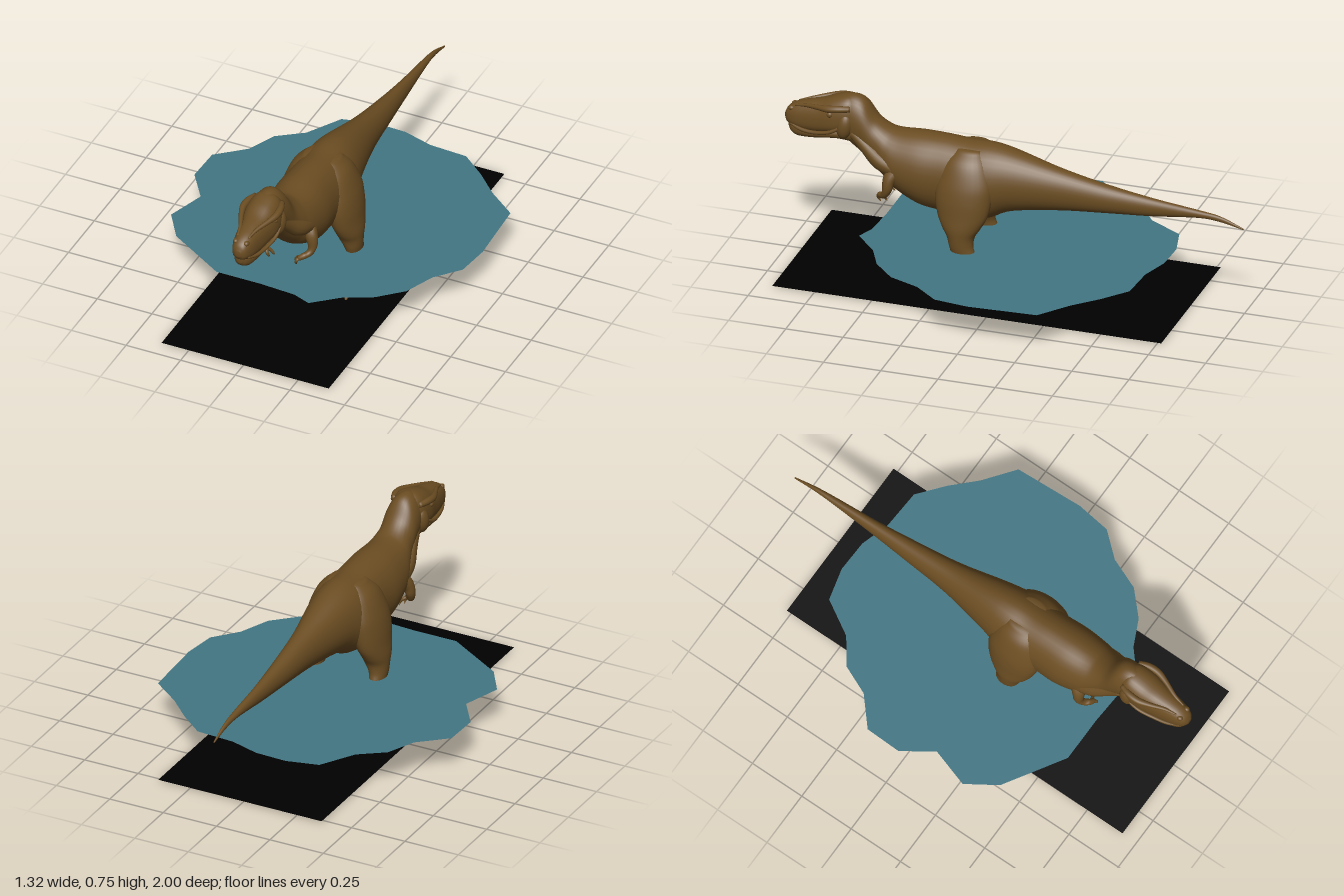
import * as THREE from 'three';

const material = (name, color, side = THREE.FrontSide) => {
  const m = new THREE.MeshStandardMaterial({ color, side });
  m.name = name;
  return m;
};

// Smoothly resample rows of numbers
function resample(rows, steps) {
  const curve = new THREE.CubicInterpolant(rows.map((_, i) => i), rows.flat(), rows[0].length);
  const count = (rows.length - 1) * steps;
  return Array.from({ length: count + 1 }, (_, i) => Array.from(curve.evaluate(i / steps)));
}

// Skin a closed, capped surface over rings of points
function skin(rings) {
  const n = rings[0].length, pos = [], idx = [];
  rings.forEach(r => r.forEach(p => pos.push(p.x, p.y, p.z)));
  for (let i = 0; i < rings.length - 1; i++) {
    for (let j = 0; j < n; j++) {
      const a = i * n + j, b = i * n + (j + 1) % n;
      idx.push(a, b, a + n, b, b + n, a + n);
    }
  }
  [0, rings.length - 1].forEach((row, end) => {
    const c = new THREE.Vector3();
    rings[row].forEach(p => c.addScaledVector(p, 1 / n));
    const k = pos.length / 3;
    pos.push(c.x, c.y, c.z);
    for (let j = 0; j < n; j++) {
      const a = row * n + j, b = row * n + (j + 1) % n;
      if (end) idx.push(a, b, k); else idx.push(b, a, k);
    }
  });
  const g = new THREE.BufferGeometry();
  g.setAttribute('position', new THREE.Float32BufferAttribute(pos, 3));
  g.setIndex(idx);
  g.computeVertexNormals();
  return g;
}

const ringOf = (n, fn) => Array.from({ length: n }, (_, j) => {
  const a = (j / n) * Math.PI * 2;
  return fn(Math.cos(a), Math.sin(a));
});

// Rows along z: [z, top, bottom, half width, height fraction of the widest line]
function trunk(rows, square = 1) {
  const pw = v => Math.sign(v) * Math.pow(Math.abs(v), square);
  return skin(resample(rows, 6).map(([z, top, bottom, w, k]) => {
    const mid = bottom + (top - bottom) * k;
    return ringOf(36, (c, s) =>
      new THREE.Vector3(w * pw(c), mid + pw(s) * (s > 0 ? top - mid : mid - bottom), z));
  }));
}

// Rows going down: [y, centre x, centre z, x radius, z radius]
function column(rows, side) {
  return skin(resample(rows, 5).map(([y, x, z, rx, rz]) =>
    ringOf(28, (c, s) => new THREE.Vector3(side * x + rx * c, y, z + rz * s))));
}

// Tapered round limb through points [x, y, z, radius]
function limb(points, side) {
  const curve = new THREE.CatmullRomCurve3(points.map(p => new THREE.Vector3(side * p[0], p[1], p[2])));
  const steps = 5, count = (points.length - 1) * steps;
  const radii = resample(points.map(p => [p[3]]), steps);
  const frames = curve.computeFrenetFrames(count);
  // Uniform parameter keeps each radius at its own point
  return skin(radii.map(([r], i) => {
    const p = curve.getPoint(i / count);
    return ringOf(12, (c, s) => {
      const v = p.clone().addScaledVector(frames.normals[i], c * r).addScaledVector(frames.binormals[i], s * r);
      v.y = Math.max(v.y, 0);
      return v;
    });
  }));
}

export function createModel() {
  const hide = material('brown hide', 0x6b4d22);
  const water = material('teal water', 0x437684, THREE.DoubleSide);
  const ground = material('black ground', 0x000000, THREE.DoubleSide);

  const model = new THREE.Group();
  const animal = new THREE.Group();
  animal.name = 'dinosaur';
  animal.position.x = 0.012;
  model.add(animal);
  const add = (name, geometry) => {
    const mesh = new THREE.Mesh(geometry, hide);
    mesh.name = name;
    animal.add(mesh);
    return mesh;
  };
  const blob = (name, x, y, z, rx, ry, rz, tilt = 0) => {
    const m = add(name, new THREE.SphereGeometry(1, 20, 14));
    m.position.set(x, y, z);
    m.scale.set(rx, ry, rz);
    m.rotation.x = tilt;
  };

  // Tail, torso and neck in one skin
  add('body', trunk([
    [-1, 0.395, 0.388, 0.003, 0.5], [-0.9, 0.434, 0.41, 0.009, 0.5],
    [-0.8, 0.449, 0.415, 0.015, 0.5], [-0.6, 0.472, 0.392, 0.027, 0.5],
    [-0.4, 0.503, 0.377, 0.045, 0.5], [-0.2, 0.545, 0.36, 0.066, 0.5],
    [0, 0.6, 0.33, 0.105, 0.48], [0.1, 0.617, 0.285, 0.125, 0.48],
    [0.2, 0.617, 0.268, 0.13, 0.5], [0.3, 0.624, 0.285, 0.127, 0.5],
    [0.4, 0.626, 0.303, 0.13, 0.48], [0.5, 0.622, 0.355, 0.118, 0.46],
    [0.55, 0.632, 0.398, 0.1, 0.5], [0.6, 0.668, 0.442, 0.082, 0.5],
    [0.65, 0.735, 0.487, 0.076, 0.5], [0.7, 0.753, 0.525, 0.07, 0.5],
    [0.76, 0.74, 0.57, 0.055, 0.5],
  ]));

  // Head
  add('skull', trunk([
    [0.68, 0.735, 0.58, 0.06, 0.4], [0.72, 0.749, 0.585, 0.076, 0.35],
    [0.78, 0.735, 0.574, 0.078, 0.35], [0.84, 0.71, 0.563, 0.067, 0.4],
    [0.9, 0.695, 0.56, 0.056, 0.4], [0.95, 0.679, 0.568, 0.046, 0.4],
    [0.985, 0.656, 0.582, 0.032, 0.45], [1, 0.628, 0.602, 0.012, 0.5],
  ], 0.85));
  add('lowerJaw', trunk([
    [0.69, 0.625, 0.54, 0.06, 0.6], [0.76, 0.605, 0.553, 0.07, 0.6],
    [0.82, 0.59, 0.545, 0.062, 0.6], [0.88, 0.585, 0.534, 0.052, 0.6],
    [0.94, 0.59, 0.53, 0.041, 0.6], [0.97, 0.595, 0.542, 0.029, 0.6],
    [0.985, 0.595, 0.562, 0.012, 0.6],
  ], 0.85));

  for (const s of [1, -1]) {
    const side = s > 0 ? 'left' : 'right';

    // Face details
    add(side + 'Brow', limb([
      [0.06, 0.705, 0.7, 0.012], [0.074, 0.705, 0.745, 0.015], [0.075, 0.7, 0.79, 0.015],
      [0.06, 0.694, 0.84, 0.011], [0.036, 0.684, 0.9, 0.008], [0.025, 0.672, 0.95, 0.004],
    ], s));
    blob(side + 'Eye', s * 0.07, 0.673, 0.785, 0.011, 0.013, 0.013);
    blob(side + 'Cheek', s * 0.055, 0.625, 0.725, 0.034, 0.06, 0.035, -0.15);
    blob(side + 'Nostril', s * 0.024, 0.657, 0.967, 0.012, 0.011, 0.014);
    add(side + 'Lip', limb([
      [0.072, 0.622, 0.735, 0.008], [0.073, 0.592, 0.79, 0.008], [0.06, 0.576, 0.86, 0.008],
      [0.048, 0.577, 0.92, 0.008], [0.03, 0.59, 0.97, 0.007],
    ], s));

    // Neck muscle running from jaw to shoulder
    add(side + 'NeckMuscle', limb([
      [0.045, 0.6, 0.69, 0.025], [0.055, 0.55, 0.63, 0.032],
      [0.07, 0.5, 0.56, 0.042], [0.085, 0.47, 0.48, 0.035],
    ], s));

    // Arm and two fingers
    add(side + 'Arm', limb([
      [0.085, 0.47, 0.49, 0.03], [0.108, 0.43, 0.515, 0.027], [0.116, 0.385, 0.52, 0.02],
      [0.108, 0.36, 0.535, 0.016], [0.088, 0.35, 0.56, 0.013], [0.072, 0.34, 0.565, 0.011],
    ], s));
    for (const [x, z] of [[0.05, 0.552], [0.062, 0.575]]) {
      add(side + 'Finger', limb([
        [0.075, 0.343, 0.562, 0.008], [(x + 0.075) / 2, 0.335, z, 0.007],
        [x, 0.318, z - 0.004, 0.005], [x + 0.002, 0.308, z - 0.012, 0.001],
      ], s));
    }

    // Leg from hip to ankle
    add(side + 'Leg', column([
      [0.6, 0.05, 0.18, 0.025, 0.05], [0.55, 0.068, 0.185, 0.057, 0.095],
      [0.47, 0.094, 0.185, 0.066, 0.12], [0.4, 0.108, 0.188, 0.068, 0.122],
      [0.33, 0.12, 0.188, 0.063, 0.108], [0.28, 0.13, 0.19, 0.058, 0.084],
      [0.24, 0.135, 0.19, 0.052, 0.06], [0.2, 0.144, 0.186, 0.04, 0.052],
      [0.16, 0.146, 0.176, 0.033, 0.052], [0.12, 0.147, 0.188, 0.031, 0.046],
      [0.07, 0.15, 0.2, 0.034, 0.046], [0.03, 0.156, 0.208, 0.043, 0.044],
      [0, 0.156, 0.208, 0.04, 0.042],
    ], s));

    // Toes with claws: tip position of each
    for (const [x, z] of [[0.108, 0.29], [0.175, 0.328], [0.262, 0.265]]) {
      const at = (t, y, r) => [0.155 + (x - 0.155) * t, y, 0.205 + (z - 0.205) * t, r];
      add(side + 'Toe', limb([
        at(0, 0.035, 0.03), at(0.35, 0.025, 0.024), at(0.62, 0.024, 0.021),
        at(0.8, 0.02, 0.014), at(0.93, 0.013, 0.008), at(1, 0.003, 0.002),
      ], s));
    }
    add(side + 'DewClaw', limb([
      [0.13, 0.04, 0.19, 0.013], [0.112, 0.03, 0.185, 0.009], [0.1, 0.012, 0.19, 0.002],
    ], s));
  }

  // Irregular water sheet, outline as [x, z]
  const shore = [
    [-0.28, -0.62], [-0.14, -0.655], [0, -0.65], [0.13, -0.61], [0.3, -0.6], [0.41, -0.51],
    [0.51, -0.41], [0.64, -0.31], [0.655, -0.01], [0.635, 0.14], [0.545, 0.245], [0.49, 0.38],
    [0.39, 0.475], [0.275, 0.53], [0.16, 0.63], [0.08, 0.6], [-0.08, 0.59], [-0.28, 0.59],
    [-0.41, 0.51], [-0.54, 0.43], [-0.625, 0.3], [-0.57, 0.13], [-0.66, 0], [-0.655, -0.16],
    [-0.535, -0.265], [-0.48, -0.39], [-0.37, -0.47],
  ];
  const shape = new THREE.Shape(shore.map(([x, z]) => new THREE.Vector2(x, -z)));
  const sheet = new THREE.Mesh(new THREE.ShapeGeometry(shape).rotateX(-Math.PI / 2), water);
  sheet.name = 'waterSurface';
  sheet.position.y = 0.177;

  // Flat ground under the feet
  const floor = new THREE.Mesh(new THREE.PlaneGeometry(0.765, 1.7).rotateX(-Math.PI / 2), ground);
  floor.name = 'groundPlane';
  floor.position.set(0.012, 0.007, 0.08);
  model.add(sheet, floor);
  return model;
}
